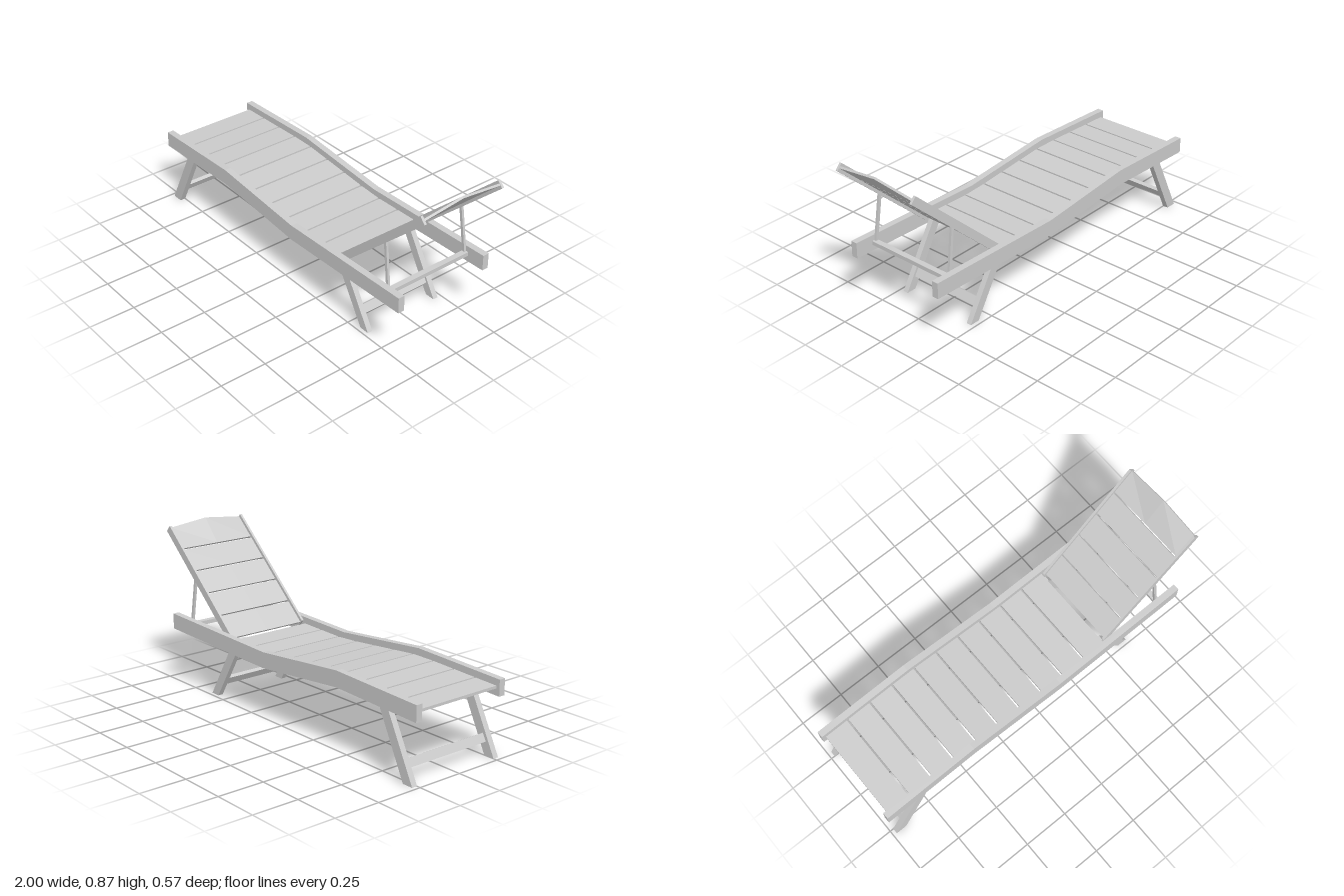
import * as THREE from 'three';

const material = new THREE.MeshStandardMaterial({ color: 0xcccccc, flatShading: true });

// Side profile (x, y) extruded across the width from z0 to z1
function profile(name, points, z0, z1) {
  const shape = new THREE.Shape(points.map(([x, y]) => new THREE.Vector2(x, y)));
  const geometry = new THREE.ExtrudeGeometry(shape, { depth: z1 - z0, bevelEnabled: false });
  geometry.translate(0, 0, z0);
  const mesh = new THREE.Mesh(geometry, material);
  mesh.name = name;
  return mesh;
}

// Same profile on both sides of the lounger
function pair(group, name, points, inner, outer) {
  group.add(profile(name + 'Left', points, inner, outer));
  group.add(profile(name + 'Right', points, -outer, -inner));
}

// Rectangular bar between two side-view points, w thick in that plane
function barPoints([x0, y0], [x1, y1], w) {
  const len = Math.hypot(x1 - x0, y1 - y0);
  const nx = (-(y1 - y0) / len) * w / 2, ny = ((x1 - x0) / len) * w / 2;
  return [[x0 - nx, y0 - ny], [x1 - nx, y1 - ny], [x1 + nx, y1 + ny], [x0 + nx, y0 + ny]];
}

// Wavy top line of the side rails
const railTop = [[-1, 0.4], [-0.46, 0.42], [0.1, 0.37], [0.895, 0.393]];
const railHeight = 0.084;
function topAt(x) {
  let i = 0;
  while (i < railTop.length - 2 && x > railTop[i + 1][0]) i++;
  const [a, b] = [railTop[i], railTop[i + 1]];
  return a[1] + ((b[1] - a[1]) * (x - a[0])) / (b[0] - a[0]);
}

export function createModel() {
  const group = new THREE.Group();
  group.name = 'sunLounger';

  // Side rails
  const underside = railTop.map(([x, y]) => [x, y - railHeight]).reverse();
  pair(group, 'sideRail', [...railTop, ...underside], 0.248, 0.283);

  // Seat slats following the rails
  const pitch = 0.141;
  for (let i = 0; i < 10; i++) {
    const x0 = -0.98 + i * pitch, x1 = x0 + pitch - 0.01;
    const y0 = topAt(x0) - 0.035, y1 = topAt(x1) - 0.035;
    group.add(profile('seatSlat' + (i + 1),
      [[x0, y0 - 0.014], [x1, y1 - 0.014], [x1, y1], [x0, y0]], -0.249, 0.249));
  }

  // Splayed legs: foot end under the rails, head end inside them
  pair(group, 'footLeg', [[-0.98, 0], [-0.92, 0], [-0.757, 0.326], [-0.817, 0.322]], 0.249, 0.28);
  pair(group, 'headLeg', [[0.57, 0], [0.625, 0], [0.43, 0.33], [0.372, 0.33]], 0.2, 0.228);

  // Leg stretchers, tilted with the legs
  group.add(profile('footStretcher', barPoints([-0.918, 0.066], [-0.897, 0.105], 0.02), -0.25, 0.25));
  group.add(profile('headStretcher', barPoints([0.56, 0.066], [0.536, 0.105], 0.02), -0.201, 0.201));

  // Cross bar that carries the backrest props
  group.add(profile('propBar', [[0.765, 0.339], [0.795, 0.339], [0.795, 0.36], [0.765, 0.36]], -0.249, 0.249));

  // Backrest frame
  const start = new THREE.Vector2(0.437, 0.347), end = new THREE.Vector2(0.981, 0.842);
  pair(group, 'backrestRail', barPoints(start.toArray(), end.toArray(), 0.042), 0.228, 0.241);

  // Backrest slats; the top one rises to a central ridge
  for (let i = 0; i < 5; i++) {
    const a = start.clone().lerp(end, i / 5 + 0.004);
    const b = start.clone().lerp(end, (i + 1) / 5 - (i < 4 ? 0.008 : 0.002));
    const length = a.distanceTo(b);
    const geometry = new THREE.BoxGeometry(length, 0.011, 0.457, 1, 1, 2);
    geometry.rotateZ(Math.atan2(b.y - a.y, b.x - a.x));
    geometry.translate((a.x + b.x) / 2, (a.y + b.y) / 2, 0);
    if (i === 4) {
      const p = geometry.attributes.position;
      for (let k = 0; k < p.count; k++) {
        if (Math.abs(p.getZ(k)) < 0.01 && p.getX(k) > (a.x + b.x) / 2) p.setY(k, p.getY(k) + 0.025);
      }
      geometry.computeVertexNormals();
    }
    const slat = new THREE.Mesh(geometry, material);
    slat.name = 'backrestSlat' + (i + 1);
    group.add(slat);
  }

  // Backrest props, leaning slightly outward toward the bottom
  for (const side of [1, -1]) {
    const top = new THREE.Vector3(0.743, 0.605, side * 0.234);
    const foot = new THREE.Vector3(0.777, 0.342, side * 0.241);
    const direction = top.clone().sub(foot);
    const prop = new THREE.Mesh(new THREE.BoxGeometry(0.015, direction.length(), 0.013), material);
    prop.position.copy(top).add(foot).multiplyScalar(0.5);
    prop.quaternion.setFromUnitVectors(new THREE.Vector3(0, 1, 0), direction.normalize());
    prop.name = side > 0 ? 'propLeft' : 'propRight';
    group.add(prop);
  }

  return group;
}
